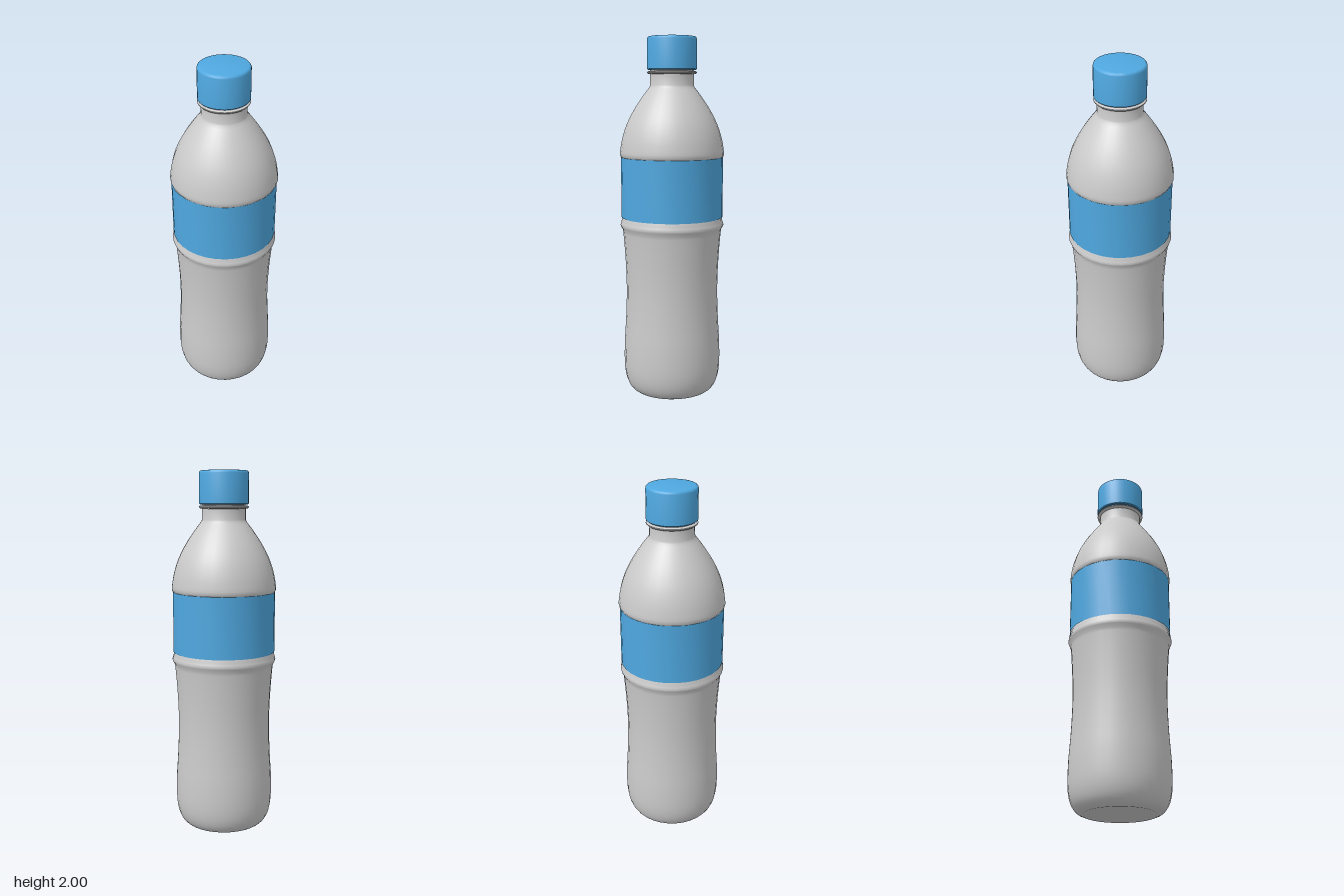
import * as THREE from 'three';
import { toCreasedNormals } from 'three/addons/utils/BufferGeometryUtils.js';

const SIDES = 32;
const grey = new THREE.MeshStandardMaterial({ color: 0xcccccc });
const blue = new THREE.MeshStandardMaterial({ color: 0x4fa8e0 });

// Smooth run of [radius, height] points
function smooth(points, steps) {
  const curve = new THREE.SplineCurve(points.map(([r, y]) => new THREE.Vector2(r, y)));
  return curve.getPoints(steps).map((p) => [p.x, p.y]);
}

// Turned part from a [radius, height] profile, listed bottom to top
function turned(name, profile, material) {
  const points = profile.map(([r, y]) => new THREE.Vector2(r, y));
  const geometry = toCreasedNormals(new THREE.LatheGeometry(points, SIDES), 0.7);
  const mesh = new THREE.Mesh(geometry, material);
  mesh.name = name;
  return mesh;
}

export function createModel() {
  const bottle = new THREE.Group();
  bottle.name = 'bottle';

  // Rounded foot, gentle waist, ridge, label recess, shoulder and neck
  bottle.add(turned('body', [
    [0, 0.006], [0.17, 0.006],
    ...smooth([[0.195, 0.003], [0.225, 0.016], [0.249, 0.045], [0.265, 0.09], [0.273, 0.15], [0.274, 0.22]], 12),
    ...smooth([[0.272, 0.3], [0.264, 0.42], [0.259, 0.55], [0.259, 0.66], [0.264, 0.78], [0.272, 0.89], [0.277, 0.94]], 12),
    [0.287, 0.957], [0.29, 0.967], [0.287, 0.98], [0.282, 0.992], [0.281, 1.008],
    [0.279, 1.012], [0.279, 1.342],
    [0.284, 1.346], [0.289, 1.355],
    ...smooth([[0.289, 1.372], [0.278, 1.44], [0.253, 1.52], [0.213, 1.6], [0.164, 1.675], [0.124, 1.728]], 14),
    [0.12, 1.738], [0.12, 1.797],
  ], grey));

  // Wrapped label
  const label = turned('label', [[0.284, 1.01], [0.284, 1.345]], blue.clone());
  label.material.side = THREE.DoubleSide;
  bottle.add(label);

  // Collar just under the cap
  bottle.add(turned('neckRing', [
    [0.118, 1.797], [0.131, 1.799], [0.136, 1.804], [0.136, 1.809], [0.131, 1.813], [0.118, 1.814], [0.118, 1.825],
  ], grey));

  // Screw cap with softened edges
  bottle.add(turned('cap', [
    [0, 1.82], [0.131, 1.82], [0.136, 1.825], [0.136, 1.985], [0.134, 1.993], [0.129, 1.998], [0.12, 2], [0, 2],
  ], blue));

  return bottle;
}
